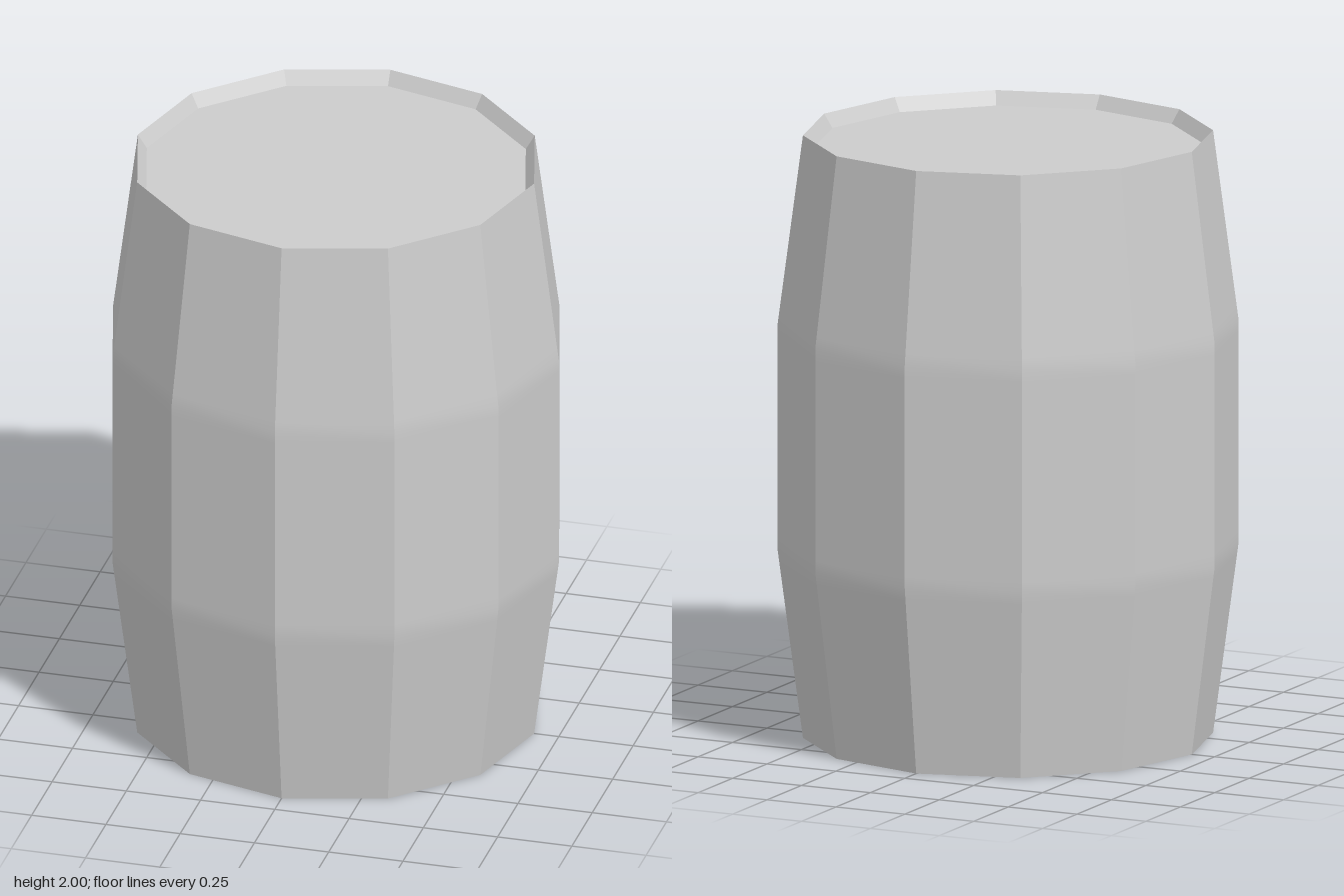
import * as THREE from 'three';
import { toCreasedNormals } from 'three/addons/utils/BufferGeometryUtils.js';

const SIDES = 12;
const RIM = 0.667, BELLY = 0.75, HEAD = 0.637;   // radii
const RECESS = 0.045;                            // depth of the heads below the rims
const BEND = 0.37, SOFT = 0.04;                  // bend height from the middle, softened band

export function createModel() {
  const group = new THREE.Group();
  group.name = 'barrel';
  const material = new THREE.MeshStandardMaterial({ color: 0xcccccc });

  // Upper half of the wall profile, from the belly up over the rim to the recessed head
  const taper = (RIM - BELLY) / (1 - BEND);
  const half = [
    [BELLY, BEND - SOFT],
    [BELLY, BEND],
    [BELLY + taper * SOFT, BEND + SOFT],
    [RIM, 1],
    [HEAD, 1 - RECESS],
  ];
  const lower = half.map(([r, y]) => new THREE.Vector2(r, 1 - y)).reverse();
  const upper = half.map(([r, y]) => new THREE.Vector2(r, 1 + y));

  // Staves: faceted around, softly blended along the height
  const wall = new THREE.LatheGeometry([...lower, ...upper], SIDES);
  const staves = new THREE.Mesh(toCreasedNormals(wall, 0.35), material);
  staves.name = 'staves';
  group.add(staves);

  // Flat heads closing both ends
  for (const [name, y, tilt] of [
    ['topHead', 2 - RECESS, -Math.PI / 2],
    ['bottomHead', RECESS, Math.PI / 2],
  ]) {
    const head = new THREE.Mesh(new THREE.CircleGeometry(HEAD, SIDES), material);
    head.name = name;
    head.position.y = y;
    head.rotation.x = tilt;
    group.add(head);
  }
  return group;
}
